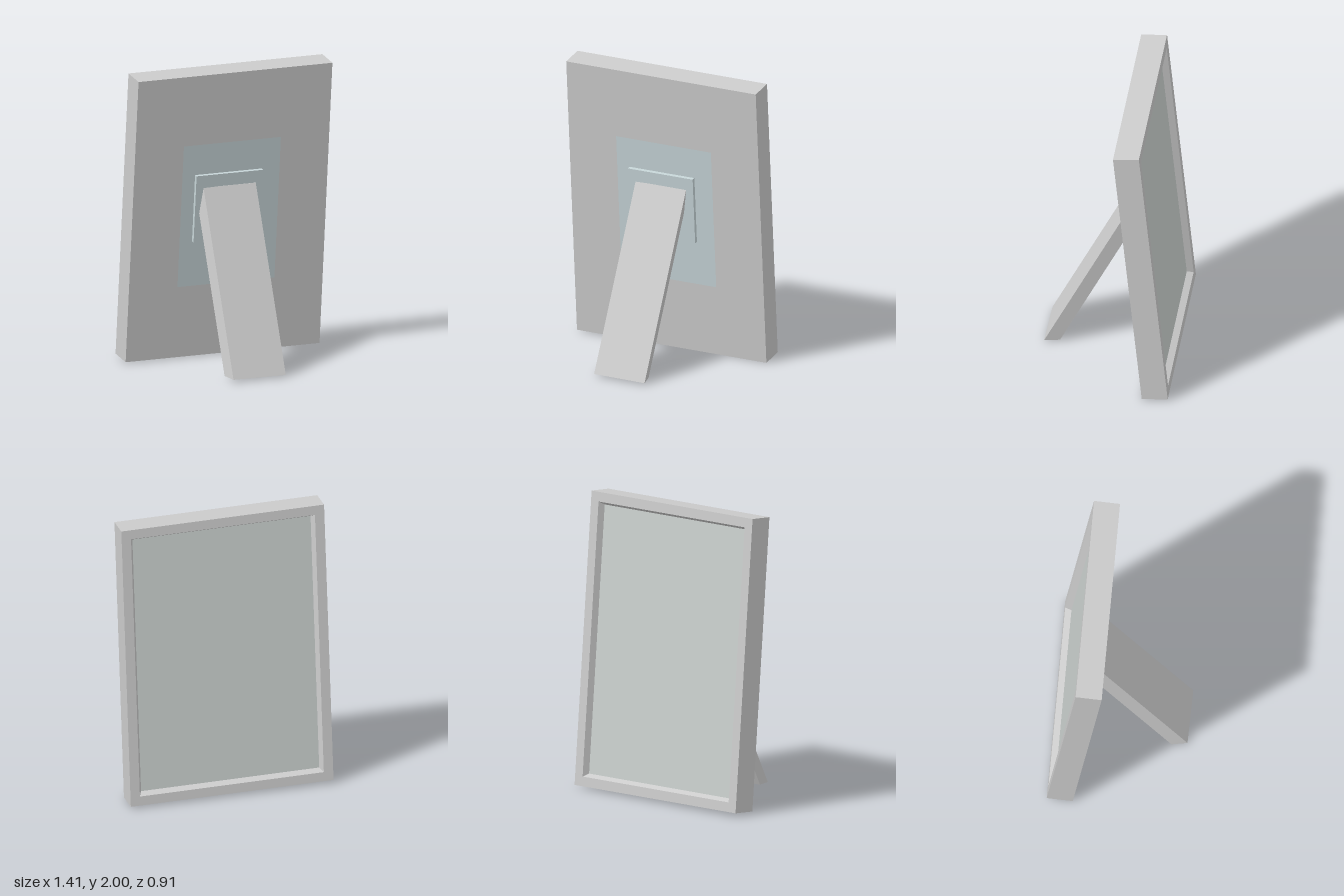
import * as THREE from 'three';

const grey = new THREE.MeshStandardMaterial({ color: 0xcccccc });
const tint = new THREE.MeshStandardMaterial({ color: 0xc6d4d7 });
const paneTint = new THREE.MeshStandardMaterial({ color: 0xc9cfcd });

// Skin through four-cornered rings (counter-clockwise seen from the first one)
function loft(rings, capEnd) {
  const pos = [];
  const quad = (a, b, c, d) => [a, b, c, a, c, d].forEach((p) => pos.push(...p));
  quad(...rings[0]);
  for (let r = 0; r < rings.length - 1; r++) {
    for (let i = 0; i < 4; i++) {
      const j = (i + 1) % 4;
      quad(rings[r][i], rings[r + 1][i], rings[r + 1][j], rings[r][j]);
    }
  }
  if (capEnd) quad(...[...rings[rings.length - 1]].reverse());
  const g = new THREE.BufferGeometry();
  g.setAttribute('position', new THREE.Float32BufferAttribute(pos, 3));
  g.computeVertexNormals();
  return g;
}

const rect = (w, h, z) => [[-w / 2, -h / 2, z], [w / 2, -h / 2, z], [w / 2, h / 2, z], [-w / 2, h / 2, z]];

function add(parent, name, geometry, material, x = 0, y = 0, z = 0) {
  const mesh = new THREE.Mesh(geometry, material);
  mesh.name = name;
  mesh.position.set(x, y, z);
  parent.add(mesh);
  return mesh;
}

export function createModel() {
  const model = new THREE.Group();
  model.name = 'standingFrame';

  const W = 1.4, H = 1.984, D = 0.175, rim = 0.065, recess = 0.042, taper = 0.02;
  const openW = W - 2 * rim, openH = H - 2 * rim;
  const paneW = openW - 2 * taper, paneH = openH - 2 * taper;

  // Leaning frame with a shallow recess in its back
  const board = new THREE.Group();
  board.name = 'leaningBoard';
  board.position.set(0, 1, -0.268);
  board.rotation.set(0.097, -0.006, -0.006);
  model.add(board);
  add(board, 'frame', loft([
    rect(W, H, D / 2),
    rect(W, H, -D / 2),
    rect(openW, openH, -D / 2),
    rect(paneW, paneH, -D / 2 + recess),
  ], false), grey);

  // Pane on the recess floor
  const pane = add(board, 'pane', new THREE.PlaneGeometry(paneW, paneH), paneTint, 0, 0, -D / 2 + recess);
  pane.rotation.y = Math.PI;

  // Flush panel and the raised hinge plate on the front
  add(board, 'flushPanel', new THREE.PlaneGeometry(0.7, 0.995), tint, 0, 0.004, D / 2 + 0.002);
  add(board, 'hingePlate', new THREE.BoxGeometry(0.48, 0.47, 0.05), tint, -0.02, 0.056, D / 2 + 0.004);

  // Slanted support leg, cut level at the foot and buried in the board at the top
  const foot = [[-0.235, 0.015, 0.447], [0.14, 0.012, 0.455], [0.12, 0.012, 0.35], [-0.255, 0.018, 0.342]];
  const head = foot.map(([x, y, z]) => [x + 0.03, y + 1.18, z - 0.582]);
  add(model, 'supportLeg', loft([head, foot], true), grey);

  return model;
}
